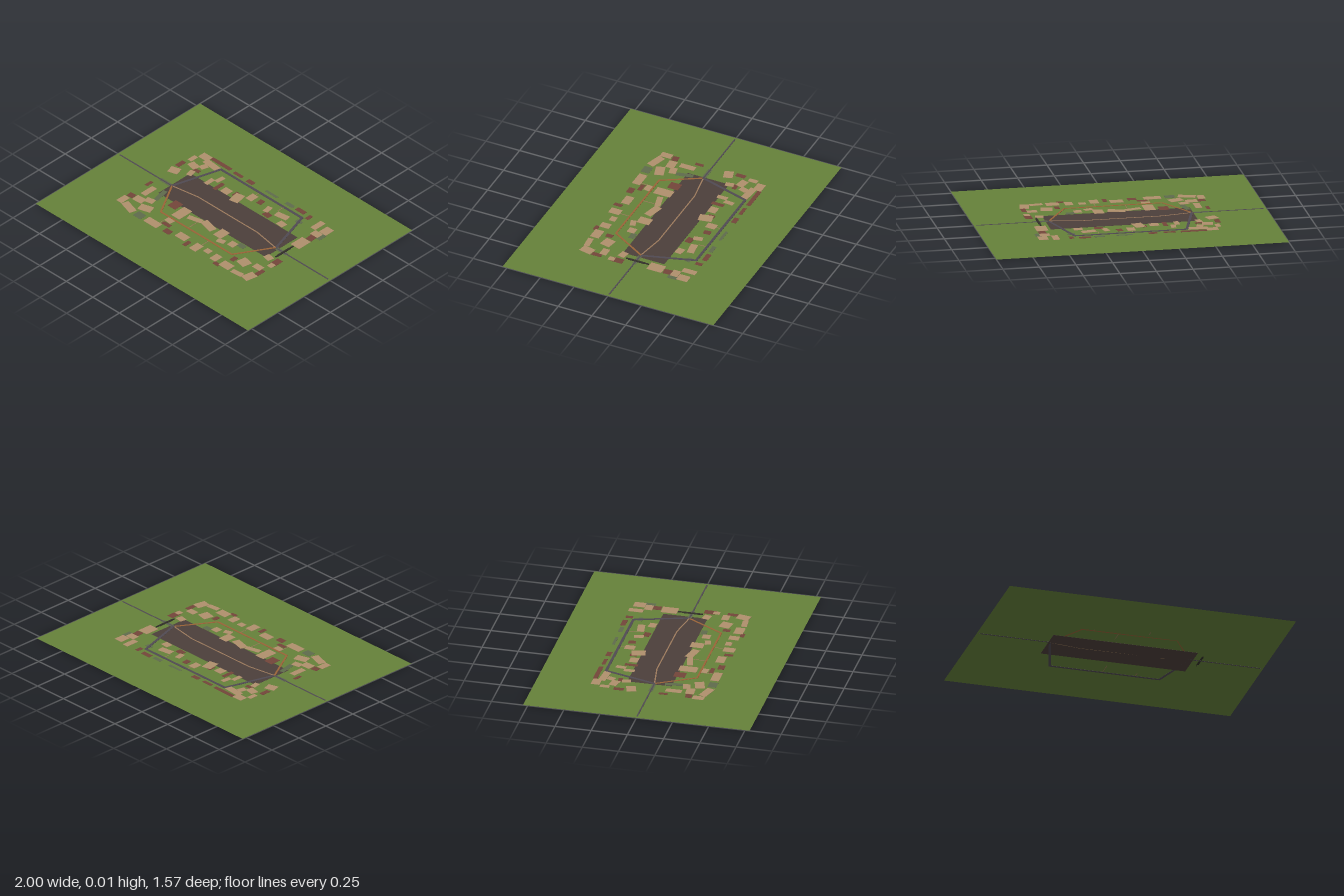
import * as THREE from 'three';

const mat = (color) => new THREE.MeshStandardMaterial({ color, side: THREE.DoubleSide });
const GROUND_Y = 0.001;

// Axis-aligned slab from y0 to y1, turned about y
function slab(name, material, x, z, w, d, y0, y1, turn = 0) {
  const mesh = new THREE.Mesh(new THREE.BoxGeometry(w, y1 - y0, d), material);
  mesh.position.set(x, (y0 + y1) / 2, z);
  mesh.rotation.y = turn;
  mesh.name = name;
  return mesh;
}

// Chain of thin strips along [x, z] points
function route(name, material, points, width, y0, y1) {
  const group = new THREE.Group();
  group.name = name;
  for (let i = 1; i < points.length; i++) {
    const [ax, az] = points[i - 1], [bx, bz] = points[i];
    const dx = bx - ax, dz = bz - az;
    group.add(slab(name + 'Segment', material, (ax + bx) / 2, (az + bz) / 2,
      Math.hypot(dx, dz) + width * 0.5, width, y0, y1, -Math.atan2(dz, dx)));
  }
  return group;
}

// Each patch: x, z, width, depth, turn
const tanNorth = [
  [-.555, -.385, .08, .06, 0], [-.46, -.35, .14, .05, -.1], [-.605, -.315, .035, .065, 0],
  [-.545, -.262, .075, .055, -.2], [-.487, -.3, .045, .055, -.3], [-.6, -.134, .075, .065, .3],
  [-.5, -.19, .04, .06, .2], [-.345, -.21, .035, .075, 0], [-.31, -.275, .035, .07, -.1],
  [-.19, -.215, .065, .06, 0], [-.085, -.21, .07, .095, .2], [-.018, -.285, .055, .07, 0],
  [.15, -.265, .04, .065, .2], [.27, -.28, .1, .05, .15], [.33, -.215, .06, .05, -.1],
  [.515, -.375, .045, .1, 0], [.6, -.37, .065, .08, 0], [.575, -.3, .07, .055, 0],
  [.57, -.155, .08, .11, 0],
];
const tanSouth = [
  [-.56, .15, .045, .11, 0], [-.48, .22, .065, .05, .2], [-.54, .26, .08, .06, .05],
  [-.44, .3, .095, .065, .3], [-.62, .335, .05, .08, 0], [-.53, .37, .12, .055, -.3],
  [-.295, .38, .12, .06, 0], [-.23, .17, .075, .125, 0], [-.12, .155, .11, .04, .25],
  [-.005, .143, .12, .055, -.25], [.12, .145, .07, .09, 0], [.175, .205, .06, .04, .3],
  [.255, .175, .055, .055, 0], [-.045, .35, .09, .06, 0], [.105, .37, .06, .08, 0],
  [.19, .345, .05, .045, 0], [.28, .36, .055, .07, 0], [.39, .37, .09, .065, 0],
  [.45, .262, .08, .075, -.2], [.53, .11, .06, .05, -.2], [.555, .235, .07, .05, 0],
  [.605, .16, .04, .045, 0], [.585, .35, .065, .09, -.2], [.5, .38, .09, .04, .1],
  [-.23, .285, .06, .045, -.1],
];
const maroon = [
  [-.425, -.405, .18, .03, 0], [-.26, -.4, .08, .025, 0], [-.145, -.4, .06, .035, 0],
  [.32, -.41, .08, .035, 0], [.41, -.395, .03, .05, 0], [-.622, -.215, .035, .07, 0],
  [-.49, -.235, .05, .03, .1], [-.263, -.215, .03, .09, 0], [-.12, -.235, .03, .05, 0],
  [.06, -.29, .04, .05, .1], [.19, -.22, .06, .045, -.1], [.58, -.25, .05, .07, .1],
  [-.618, .09, .025, .06, 0], [-.61, .265, .05, .045, .1], [-.325, .135, .07, .08, 0],
  [-.215, .33, .07, .03, 0], [-.155, .38, .06, .045, 0], [.03, .385, .03, .06, 0],
  [.33, .405, .05, .03, 0], [.375, .285, .035, .05, 0], [.605, .27, .035, .07, 0],
  [.605, .115, .05, .08, 0],
];
const greyGreen = [
  [-.415, .385, .07, .06, 0], [.05, -.405, .11, .02, 0], [.22, -.405, .07, .03, 0],
  [.395, -.315, .05, .03, 0], [.31, .145, .06, .04, 0], [-.47, .13, .035, .12, .2],
  [.62, -.3, .04, .07, 0], [.545, 0, .1, .03, 0], [-.55, 0, .1, .03, 0],
];

export function createModel() {
  const model = new THREE.Group();
  model.name = 'townMap';

  // Flat lawn
  const ground = new THREE.Mesh(new THREE.PlaneGeometry(2, 1.565).rotateX(-Math.PI / 2), mat(0x66823a));
  ground.position.y = GROUND_Y;
  ground.name = 'ground';
  model.add(ground);

  // Central yard, cutting through the lawn
  model.add(slab('yard', mat(0x4c3f3b), 0.005, -0.033, 1.01, 0.305, 0, 0.0018));

  // Building plots
  const plots = (name, color, list, top) => {
    const group = new THREE.Group(), material = mat(color);
    group.name = name;
    for (const [x, z, w, d, turn] of list) {
      group.add(slab('plot', material, x, z, w, d, GROUND_Y + 0.0003, top, turn));
    }
    model.add(group);
  };
  plots('greyPlots', 0x5f6b4c, greyGreen, 0.0022);
  plots('maroonPlots', 0x74463a, maroon, 0.0025);
  plots('northPlots', 0xb08f6c, tanNorth, 0.0028);
  plots('southPlots', 0xb08f6c, tanSouth, 0.0028);

  // Main line and the northern loop
  const rail = mat(0x504a52), copper = mat(0x9a6438), path = mat(0x9c7a5c);
  model.add(route('mainLineWest', rail, [[-.98, 0], [-.49, 0]], 0.01, 0, 0.0026));
  model.add(route('mainLineEast', rail, [[.49, 0], [.98, 0]], 0.01, 0, 0.0026));
  model.add(route('northLoop', rail, [[-.49, 0], [-.385, -.36], [.38, -.36], [.49, 0]], 0.018, 0, 0.0032));

  // Southern loop, central lane and side lanes
  model.add(route('southLoop', copper, [[-.49, 0], [-.34, .258], [.33, .258], [.485, 0]], 0.013, GROUND_Y, 0.0032));
  model.add(route('centralLane', path, [[-.49, 0], [-.28, -.035], [.28, -.035], [.485, 0]], 0.009, 0, 0.003));
  for (const [x, z0, z1] of [[-.085, .17, .258], [-.26, .258, .36], [.115, .258, .34], [-.018, -.36, -.25], [.21, -.36, -.3]]) {
    model.add(route('sideLane', path, [[x, z0], [x, z1]], 0.005, GROUND_Y, 0.0024));
  }

  // Dark crossing barrier with tapered ends
  const dark = mat(0x33302a);
  model.add(slab('barrier', dark, 0.56, -0.005, 0.016, 0.12, GROUND_Y, 0.006));
  model.add(slab('barrierTip', dark, 0.56, -0.01, 0.008, 0.17, GROUND_Y, 0.0075));

  return model;
}
